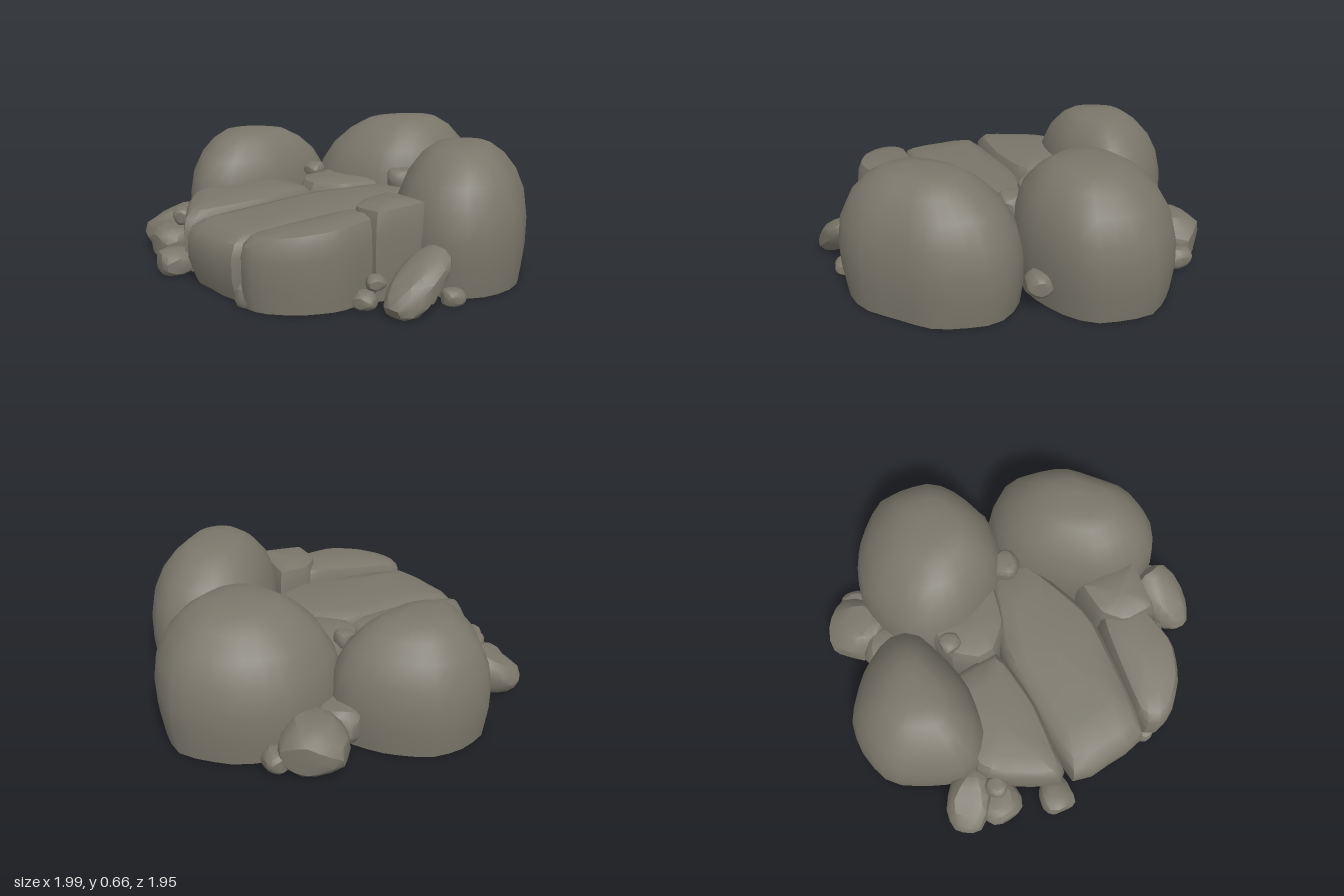
import * as THREE from 'three';
import { toCreasedNormals } from 'three/addons/utils/BufferGeometryUtils.js';

const stone = new THREE.MeshStandardMaterial({ color: 0x7a766a });
stone.name = 'greyStone';

// Vertical profiles shared by all rocks: [height fraction, outline scale]
const roundProfile = [[0, 0.95], [0.2, 0.995], [0.4, 1], [0.6, 0.945], [0.77, 0.81], [0.9, 0.62], [0.98, 0.42], [1, 0.2]];
const slabProfile = [[0, 0.95], [0.3, 1], [0.65, 1], [0.85, 0.96], [0.96, 0.86], [1, 0.6]];
const SEGS = 28;

// Rock lofted from a ground outline of [x, z] corners.
// lean shifts the top sideways, slope raises it along x and z.
function loftRock(name, corners, height, profile, { lean = [0, 0], slope = [0, 0], tension = 0.35, crease = 0.75 } = {}) {
  const curve = new THREE.CatmullRomCurve3(
    corners.map(([x, z]) => new THREE.Vector3(x, 0, z)), true, 'catmullrom', tension);
  const outline = curve.getSpacedPoints(SEGS).slice(0, SEGS);
  // Every outline runs the same way round so all faces point outwards
  if (THREE.ShapeUtils.area(outline.map(p => new THREE.Vector2(p.x, p.z))) < 0) outline.reverse();
  const centre = new THREE.Box3().setFromPoints(outline).getCenter(new THREE.Vector3());
  const pos = [], idx = [];
  const put = (p, t, scale) => {
    const dx = (p.x - centre.x) * scale, dz = (p.z - centre.z) * scale, k = t * t;
    pos.push(centre.x + dx + lean[0] * k, t * height + k * (slope[0] * dx + slope[1] * dz), centre.z + dz + lean[1] * k);
  };
  profile.forEach(([t, scale]) => outline.forEach(p => put(p, t, scale)));
  put(centre, 0, 0);
  put(centre, 1, 0);
  const n = profile.length * SEGS;
  for (let i = 0; i < SEGS; i++) {
    const j = (i + 1) % SEGS;
    for (let a = i, b = j; a + SEGS < n; a += SEGS, b += SEGS) {
      idx.push(a, a + SEGS, b, b, a + SEGS, b + SEGS);
    }
    idx.push(i, j, n, n - SEGS + i, n + 1, n - SEGS + j);
  }
  const geo = new THREE.BufferGeometry();
  geo.setAttribute('position', new THREE.Float32BufferAttribute(pos, 3));
  geo.setIndex(idx);
  const mesh = new THREE.Mesh(toCreasedNormals(geo, crease), stone);
  mesh.name = name;
  return mesh;
}

// Small chipped stone, flattened where it meets the ground
function smallStone(name, x, y, z, size, turn, pitch = 0) {
  const geo = new THREE.IcosahedronGeometry(1, 2);
  const p = geo.attributes.position, v = new THREE.Vector3();
  const matrix = new THREE.Matrix4().compose(new THREE.Vector3(x, y, z),
    new THREE.Quaternion().setFromEuler(new THREE.Euler(pitch, turn, 0, 'YXZ')), new THREE.Vector3(...size));
  for (let i = 0; i < p.count; i++) {
    v.fromBufferAttribute(p, i);
    v.multiplyScalar(1 + 0.06 * Math.sin(3.1 * v.x + 9 * x) + 0.06 * Math.sin(3.7 * v.y + 2 * v.z + 7 * z));
    v.clampScalar(-0.86, 0.86).applyMatrix4(matrix);
    p.setXYZ(i, v.x, Math.max(0, v.y), v.z);
  }
  geo.deleteAttribute('uv');
  const mesh = new THREE.Mesh(toCreasedNormals(geo, 0.55), stone);
  mesh.name = name;
  return mesh;
}

export function createModel() {
  const model = new THREE.Group();
  model.name = 'rockPile';

  // Three large boulders
  model.add(
    loftRock('backBoulder',
      [[-0.24, -0.98], [0.05, -0.92], [0.17, -0.75], [0.22, -0.5], [0.14, -0.26], [-0.02, -0.15], [-0.25, -0.09],
        [-0.47, -0.16], [-0.57, -0.36], [-0.59, -0.56], [-0.48, -0.8]],
      0.66, roundProfile, { lean: [0.06, 0], slope: [0.04, 0] }),
    loftRock('rightBoulder',
      [[0.19, -0.42], [0.27, -0.61], [0.45, -0.71], [0.72, -0.62], [0.86, -0.45], [0.98, -0.27], [0.99, -0.07],
        [0.9, 0.09], [0.75, 0.145], [0.56, 0.12], [0.38, -0.02], [0.23, -0.22]],
      0.655, roundProfile, { lean: [0.02, 0.03], slope: [0.03, 0] }),
    loftRock('leftBoulder',
      [[-1, 0.17], [-0.96, -0.01], [-0.8, -0.18], [-0.6, -0.28], [-0.45, -0.23], [-0.38, 0], [-0.36, 0.2],
        [-0.42, 0.45], [-0.56, 0.57], [-0.73, 0.52], [-0.95, 0.37]],
      0.592, roundProfile, { lean: [0.04, 0.02] }));

  // Flat slabs filling the middle
  model.add(
    loftRock('centreSlab',
      [[-0.14, 0.87], [0.08, 0.9], [0.3, 0.87], [0.42, 0.2], [0.28, -0.28], [0.08, -0.3], [-0.11, 0.14]],
      0.34, slabProfile, { slope: [0.03, -0.05], tension: 0.2 }),
    loftRock('leftSlab',
      [[-0.55, 0.58], [-0.45, 0.7], [-0.18, 0.86], [-0.1, 0.45], [-0.12, 0.1], [-0.45, 0.1]],
      0.34, slabProfile, { slope: [0, -0.05], tension: 0.15 }),
    loftRock('rightSlab',
      [[0.31, 0.8], [0.36, 0.89], [0.47, 0.87], [0.6, 0.75], [0.685, 0.56], [0.64, 0.2], [0.43, 0.25]],
      0.375, slabProfile, { slope: [0.1, -0.08], tension: 0.25 }),
    loftRock('rearSlab',
      [[-0.38, -0.18], [-0.35, 0.02], [-0.24, 0.12], [-0.14, 0.12], [0, 0], [0.08, -0.28]],
      0.37, slabProfile, { tension: 0.1, crease: 0.5 }),
    loftRock('uprightBlock',
      [[0.42, 0.05], [0.42, 0.25], [0.51, 0.37], [0.7, 0.38], [0.75, 0.1]],
      0.44, slabProfile, { slope: [0.08, -0.05], tension: 0.08, crease: 0.5 }));

  // Long stones leaning on the pile
  model.add(
    smallStone('leaningStoneLeft', -0.64, 0.11, 0.65, [0.13, 0.11, 0.2], -0.75, 0.45),
    smallStone('leaningStoneRight', 0.87, 0.125, 0.29, [0.13, 0.085, 0.22], 0.1, 0.6));

  // Rounder stones around and on top of the pile: name, position, radius
  [
    ['frontLeftStone', -0.52, 0.06, 0.74, 0.13],
    ['perchedLeftStone', -0.5, 0.2, 0.69, 0.065],
    ['frontStone', -0.25, 0.05, 0.88, 0.1],
    ['frontGapStone', 0.35, 0.04, 0.82, 0.08],
    ['outerRightStone', 0.92, 0.03, 0.11, 0.06],
    ['rightPebble', 0.72, 0.04, 0.46, 0.06],
    ['rightUpperPebble', 0.72, 0.11, 0.4, 0.05],
    ['rightGapStone', 0.79, 0.04, 0.2, 0.1],
    ['perchedBackStone', 0.16, 0.37, -0.27, 0.09],
    ['perchedCentreStone', -0.32, 0.375, -0.05, 0.06],
    ['backLeftStone', -0.67, 0.11, -0.47, 0.18],
    ['backLeftPebble', -0.61, 0.06, -0.64, 0.08],
    ['leftGapStone', -0.6, 0.13, -0.28, 0.13],
    ['backRightStone', 0.21, 0.14, -0.66, 0.08],
  ].forEach(([name, x, y, z, r], i) =>
    model.add(smallStone(name, x, y, z, [r, r * 0.82, r], i * 0.7)));
  return model;
}
